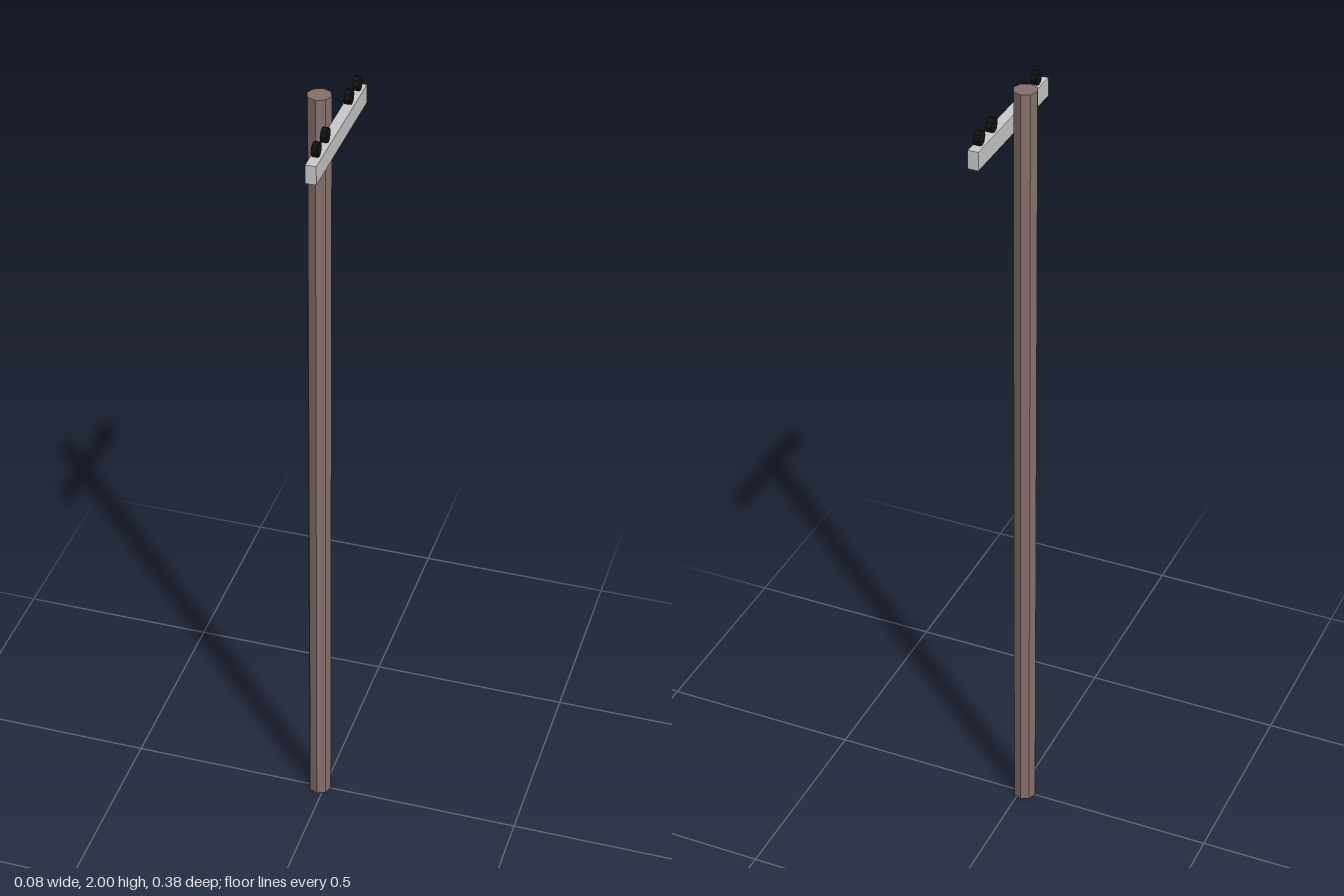
import * as THREE from 'three';

export function createModel() {
  const group = new THREE.Group();
  const wood = new THREE.MeshStandardMaterial({ color: 0x85706a, flatShading: true });
  const grey = new THREE.MeshStandardMaterial({ color: 0xcccccc, flatShading: true });
  const black = new THREE.MeshStandardMaterial({ color: 0x111111, flatShading: true });

  const add = (name, geometry, material, x, y, z) => {
    const mesh = new THREE.Mesh(geometry, material);
    mesh.name = name;
    mesh.position.set(x, y, z);
    group.add(mesh);
  };

  // Octagonal pole
  add('pole', new THREE.CylinderGeometry(0.0285, 0.0285, 2, 8), wood, -0.012, 1, 0);

  // Crossarm fixed to the left side of the pole
  add('crossarm', new THREE.BoxGeometry(0.025, 0.045, 0.38), grey, 0.0275, 1.912, 0);

  // Disc insulators standing on the crossarm, in two pairs
  const disc = new THREE.CylinderGeometry(0.0175, 0.0175, 0.014, 8).rotateZ(Math.PI / 2);
  for (const z of [-0.159, -0.094, 0.083, 0.148]) add('insulator', disc, black, 0.027, 1.952, z);

  return group;
}
